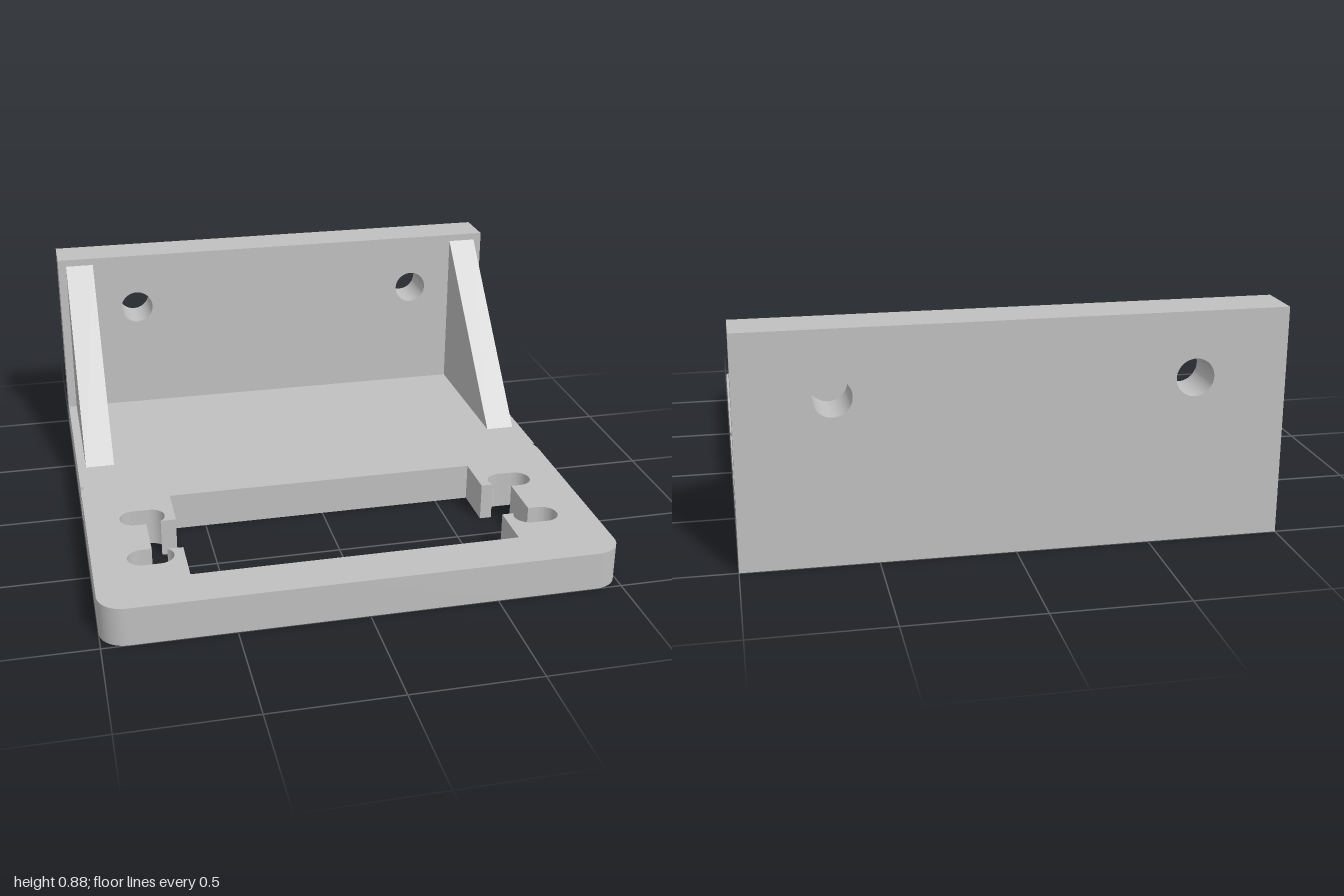
import * as THREE from 'three';
import { toCreasedNormals } from 'three/addons/utils/BufferGeometryUtils.js';

const BASE_H = 0.155, WALL_H = 0.875, WALL_FRONT = -0.815;

const extrude = (shape, depth) => toCreasedNormals(
  new THREE.ExtrudeGeometry(shape, { depth, bevelEnabled: false, curveSegments: 24 }), 0.5);

// Points on an arc in plan coordinates (x, z)
function arc(cx, cz, r, a0, a1, n = 12) {
  return Array.from({ length: n + 1 }, (_, i) => {
    const a = a0 + (a1 - a0) * i / n;
    return [cx + r * Math.cos(a), cz + r * Math.sin(a)];
  });
}

// Plan (x, z) becomes shape (x, -z), so the extrusion can be tipped upright
const toVectors = (pts) => pts.map(([x, z]) => new THREE.Vector2(x, -z));

// One quarter of the cutout: opening corner, screw slot, then the end notch
function cutoutQuarter(sx, sz) {
  const left = sx < 0, r = 0.058, slotZ = 0.1575, midZ = 0.4975;
  const edge = left ? 0.645 : 0.64, step = left ? 0.1125 : 0.1275;
  const inner = left ? 0.743 : 0.738, outer = inner + 0.064, notch = inner + 0.022;
  const start = Math.PI - Math.asin((step - slotZ) / r);
  return [
    [edge, 0.3175], [edge, step],
    ...arc(inner, slotZ, r, start, Math.PI / 2),
    ...arc(outer, slotZ, r, Math.PI / 2, -Math.PI / 2, 20),
    [notch, slotZ - r],
  ].map(([x, z]) => [sx * x, midZ + sz * z]);
}

// Square rear part, small side nicks and a rounded front part
function baseGeometry() {
  const r = 0.1, backZ = 0.083, joinZ = 0.028;
  const a = Math.asin((joinZ - backZ) / r);
  const half = [
    [1, -1], [1, joinZ],
    ...arc(1 - r, backZ, r, a, 0, 8),
    ...arc(1 - r, 1 - r, r, 0, Math.PI / 2),
  ];
  const mirrored = half.map(([x, z]) => [-x, z]).reverse();
  const shape = new THREE.Shape(toVectors([...half, ...mirrored]));
  shape.holes.push(new THREE.Path(toVectors([
    ...cutoutQuarter(-1, -1), ...cutoutQuarter(-1, 1).reverse(),
    ...cutoutQuarter(1, 1), ...cutoutQuarter(1, -1).reverse(),
  ])));
  return extrude(shape, BASE_H).rotateX(-Math.PI / 2);
}

// Upright plate with two round mounting holes
function wallGeometry() {
  const shape = new THREE.Shape(toVectors(
    [[-1, -BASE_H], [1, -BASE_H], [1, -WALL_H], [-1, -WALL_H]]));
  for (const x of [-0.655, 0.655]) {
    shape.holes.push(new THREE.Path().absarc(x, 0.628, 0.071, 0, Math.PI * 2, true));
  }
  return extrude(shape, WALL_FRONT + 1).translate(0, 0, -1);
}

// Triangular brace, drawn in side view and turned so its thickness runs along x
function gussetGeometry() {
  const shape = new THREE.Shape([
    new THREE.Vector2(-WALL_FRONT, BASE_H),
    new THREE.Vector2(-WALL_FRONT, 0.845),
    new THREE.Vector2(0.155, BASE_H),
  ]);
  return extrude(shape, 0.12).rotateY(Math.PI / 2).translate(-0.06, 0, 0);
}

export function createModel() {
  const model = new THREE.Group();
  model.name = 'mountingBracket';
  const grey = new THREE.MeshStandardMaterial({ color: 0xc0c0c0 });
  grey.name = 'lightGrey';

  const add = (name, geometry, x = 0) => {
    const mesh = new THREE.Mesh(geometry, grey);
    mesh.name = name;
    mesh.position.x = x;
    model.add(mesh);
  };

  add('basePlate', baseGeometry());
  add('backWall', wallGeometry());
  const gusset = gussetGeometry();
  add('leftGusset', gusset, 0.905);
  add('rightGusset', gusset, -0.905);
  return model;
}
